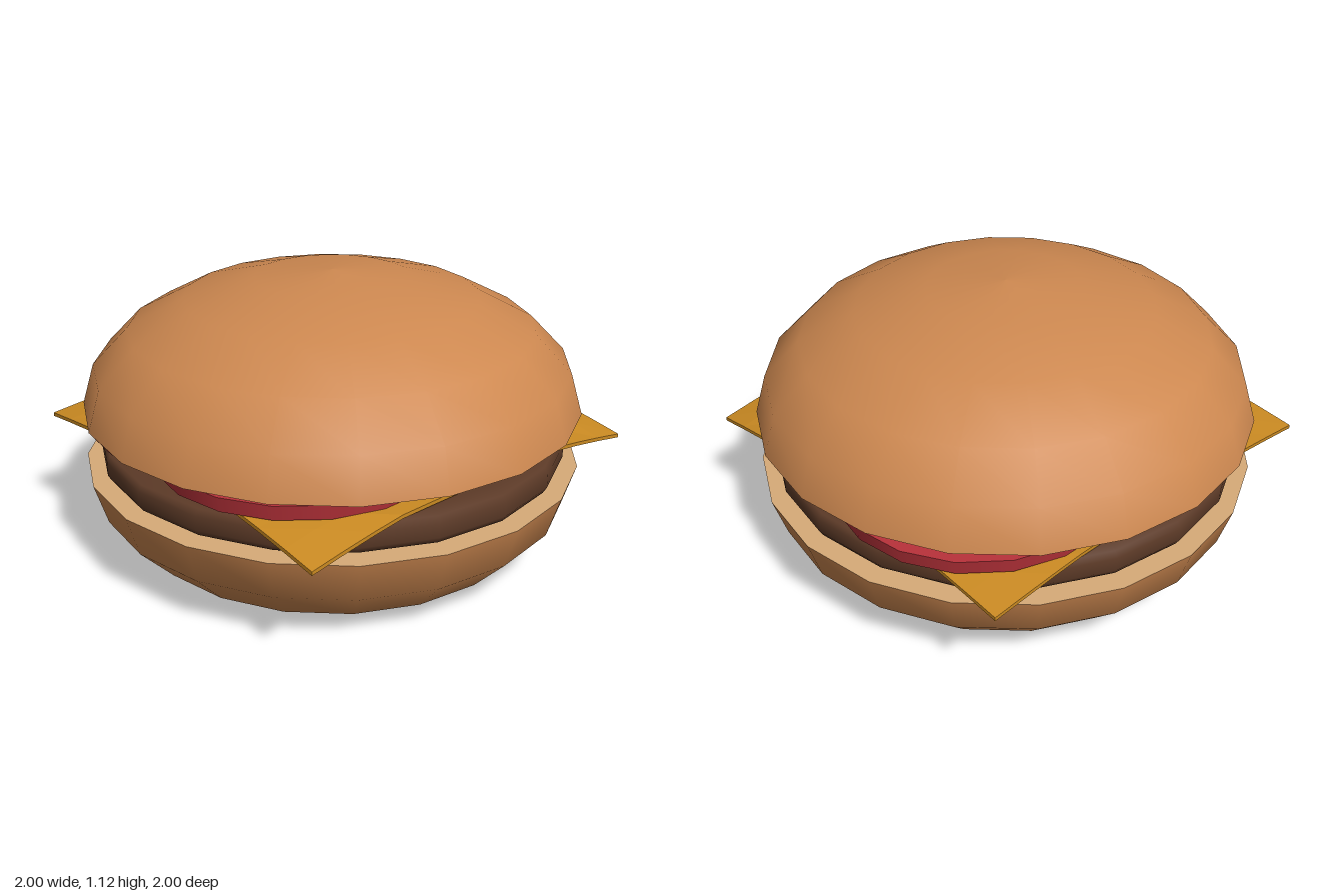
import * as THREE from 'three';

const SIDES = 20;
const paint = (name, color) => {
  const m = new THREE.MeshStandardMaterial({ color });
  m.name = name;
  return m;
};

export function createModel() {
  const burger = new THREE.Group();
  burger.name = 'burger';
  const crust = paint('bun crust', 0xcd8850);
  const crumb = paint('bun crumb', 0xd8ab78);
  const meat = paint('grilled patty', 0x5c3a27);
  const yellow = paint('cheese yellow', 0xca8a22);
  const red = paint('tomato red', 0xb8323a);
  const cream = paint('sauce cream', 0xdcc49a);

  const add = (name, geometry, material, parent = burger) => {
    const mesh = new THREE.Mesh(geometry, material);
    mesh.name = name;
    parent.add(mesh);
    return mesh;
  };
  const lathe = (points) =>
    new THREE.LatheGeometry(points.map(([r, y]) => new THREE.Vector2(r, y)), SIDES);

  // Bun halves: rounded crust with a flat cut face
  const bun = (name, profile, cutY, facing) => {
    const half = new THREE.Group();
    half.name = name;
    burger.add(half);
    add(name + 'Crust', lathe(profile), crust, half);
    const cut = add(name + 'CutFace', new THREE.CircleGeometry(1, SIDES).rotateX(-facing * Math.PI / 2), crumb, half);
    cut.position.y = cutY;
  };
  const dome = [];
  for (let i = 0; i <= 5; i++) {
    const a = i * Math.PI / 10;
    dome.push([i === 5 ? 0 : Math.cos(a), 0.6 + 0.525 * Math.sin(a)]);
  }
  bun('topBun', dome, 0.6, -1);
  bun('bottomBun', [[0, 0.01], [0.31, 0.005], [0.59, 0.018], [0.81, 0.065], [0.95, 0.21], [1, 0.375]], 0.375, 1);

  // Patty with a softly rounded edge
  add('patty', lathe([[0, 0.376], [0.86, 0.376], [0.925, 0.385], [0.94, 0.41],
    [0.94, 0.465], [0.925, 0.49], [0.86, 0.5], [0, 0.5]]), meat);

  // Square cheese slice, its corners drooping over the patty
  const cheese = new THREE.BoxGeometry(1.66, 0.015, 1.64, 12, 1, 12).toNonIndexed();
  const p = cheese.attributes.position;
  for (let i = 0; i < p.count; i++) {
    const x = p.getX(i), z = p.getZ(i);
    const droop = Math.max(0, Math.hypot(x, z) - 0.92) * (x > 0 ? 0.26 : 0.15);
    p.setY(i, p.getY(i) + 0.511 - droop);
  }
  cheese.computeVertexNormals();
  add('cheeseSlice', cheese, yellow);

  // Overlapping tomato slices, each tipped slightly outward
  const slices = [[0.2, 0.33], [-0.24, 0.33], [-0.24, -0.36], [0.18, -0.28]];
  slices.forEach(([x, z], i) => {
    const slice = add('tomatoSlice' + (i + 1), new THREE.CylinderGeometry(0.58, 0.57, 0.06, 18), red);
    slice.position.set(x, 0.556, z);
    slice.rotation.set(z * 0.05, 0, -x * 0.05);
  });

  // Wavy sauce layer under the top bun
  const outline = new THREE.Shape();
  for (let i = 0; i < 60; i++) {
    const a = i * Math.PI / 30;
    const r = 0.82 + 0.04 * Math.sin(5 * a) + 0.03 * Math.sin(9 * a + 1);
    outline[i ? 'lineTo' : 'moveTo'](r * Math.cos(a), r * Math.sin(a));
  }
  const sauce = new THREE.ExtrudeGeometry(outline, { depth: 0.008, bevelEnabled: false });
  add('sauceLayer', sauce.rotateX(-Math.PI / 2), cream).position.y = 0.59;

  return burger;
}
